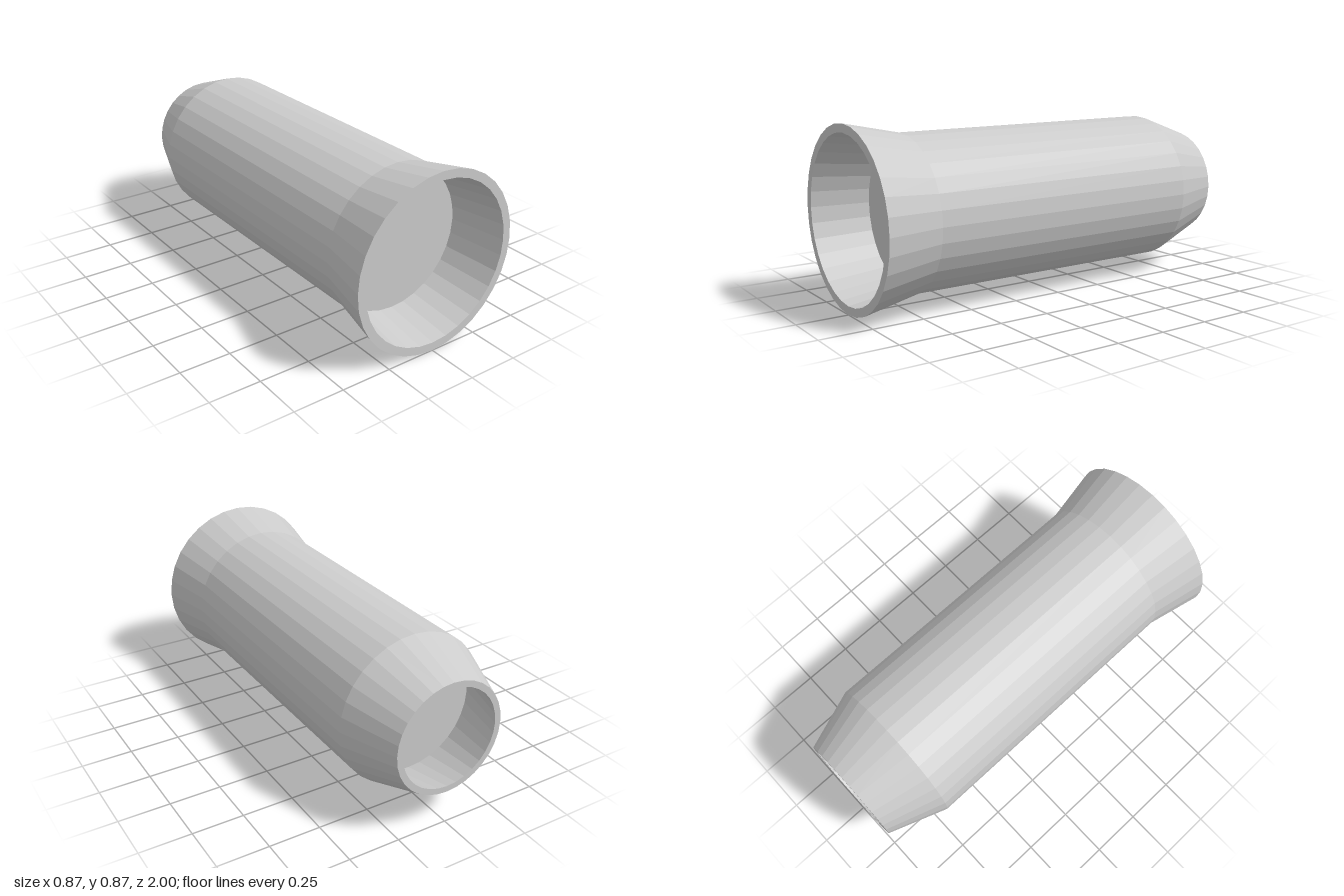
import * as THREE from 'three';

const SIDES = 32;
const R = 0.436; // mouth radius, sets the height of the axis

export function createModel() {
  const group = new THREE.Group();
  group.name = 'flaredTube';
  const material = new THREE.MeshStandardMaterial({ color: 0xcccccc, flatShading: true });

  // Surface of revolution around the z axis; profile is [radius, z]
  const addTurned = (name, profile) => {
    const points = profile.map(([r, z]) => new THREE.Vector2(r, z));
    const geometry = new THREE.LatheGeometry(points, SIDES);
    geometry.rotateX(Math.PI / 2);
    const mesh = new THREE.Mesh(geometry, material);
    mesh.name = name;
    mesh.position.y = R;
    group.add(mesh);
  };

  // Recessed back end: closing disc, cavity wall, rim and outer taper
  addTurned('backDisc', [[0, -0.715], [0.315, -0.715]]);
  addTurned('backTaper', [[0.315, -0.715], [0.245, -1], [0.275, -1], [0.377, -0.715]]);

  // Straight middle section
  addTurned('barrel', [[0.377, -0.715], [0.377, 0.715]]);

  // Flared front end: outer flare, rim, cavity wall and closing disc
  addTurned('frontFlare', [[0.377, 0.715], [R, 1], [0.395, 1], [0.355, 0.715]]);
  addTurned('frontDisc', [[0.355, 0.715], [0, 0.715]]);

  return group;
}
